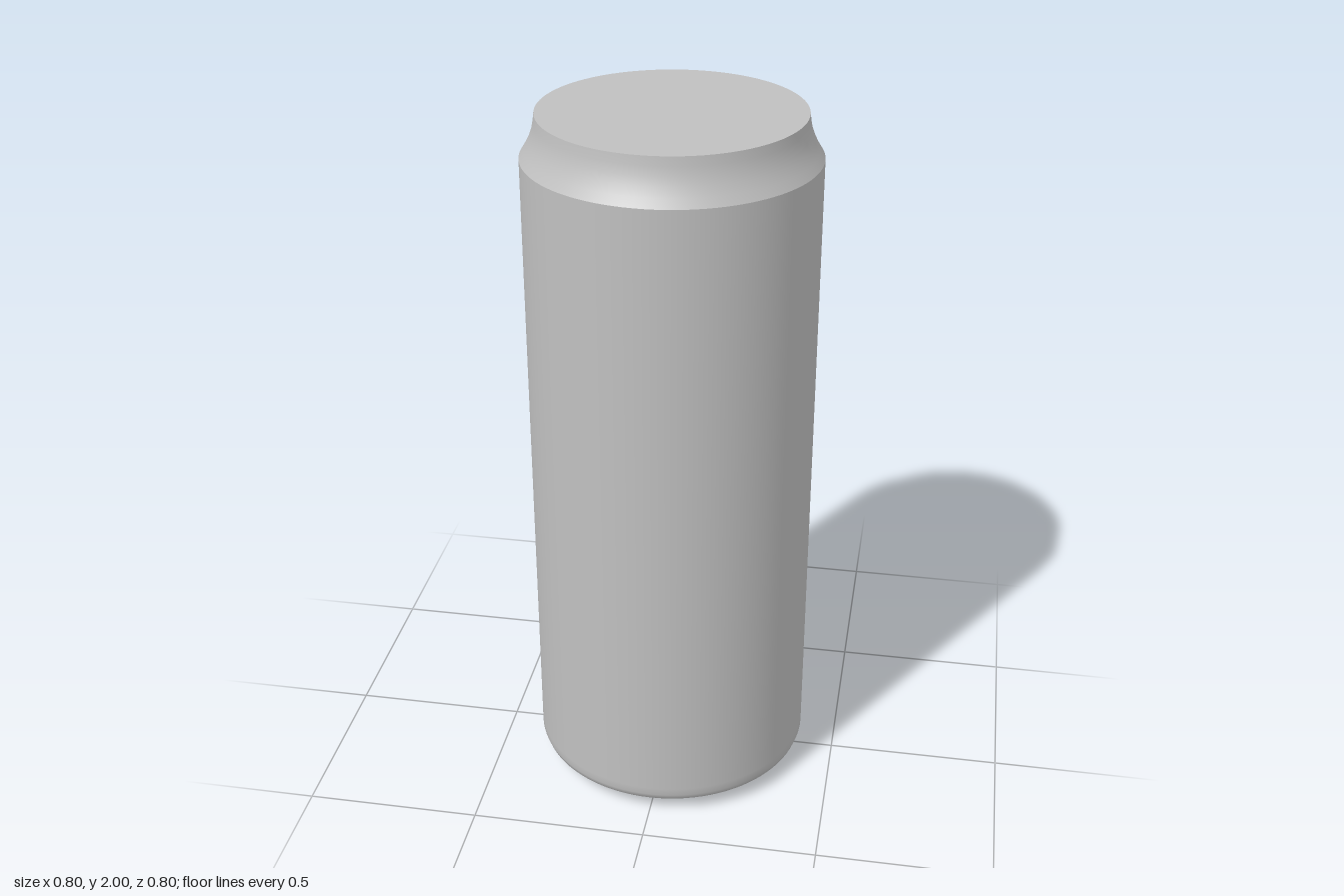
import * as THREE from 'three';

const SEGMENTS = 96;

export function createModel() {
  const can = new THREE.Group();
  can.name = 'drinkCan';
  const metal = new THREE.MeshStandardMaterial({ color: 0xc0c0c0 });
  metal.name = 'plain grey metal';

  // Each part is a smooth surface of revolution; separate parts keep creases sharp
  const addTurned = (name, profile) => {
    const points = profile.map(([r, y]) => new THREE.Vector2(r, y));
    const mesh = new THREE.Mesh(new THREE.LatheGeometry(points, SEGMENTS), metal);
    mesh.name = name;
    can.add(mesh);
  };

  // Recessed underside, rising to a shallow point
  addTurned('recessedBase', [[0, 0.11], [0.15, 0.067], [0.26, 0.028], [0.3, 0.008], [0.318, 0]]);

  // Chamfered foot rounding into the straight wall
  addTurned('body', [
    [0.318, 0], [0.35, 0.02], [0.38, 0.039], [0.394, 0.051], [0.4, 0.068],
    [0.4, 0.09], [0.4, 1.88],
  ]);

  // Concave shoulder narrowing to the neck
  addTurned('shoulder', [
    [0.4, 1.88], [0.386, 1.903], [0.374, 1.927], [0.365, 1.952], [0.36, 1.976], [0.357, 2],
  ]);

  // Flat top
  addTurned('lid', [[0.357, 2], [0, 2]]);

  return can;
}
